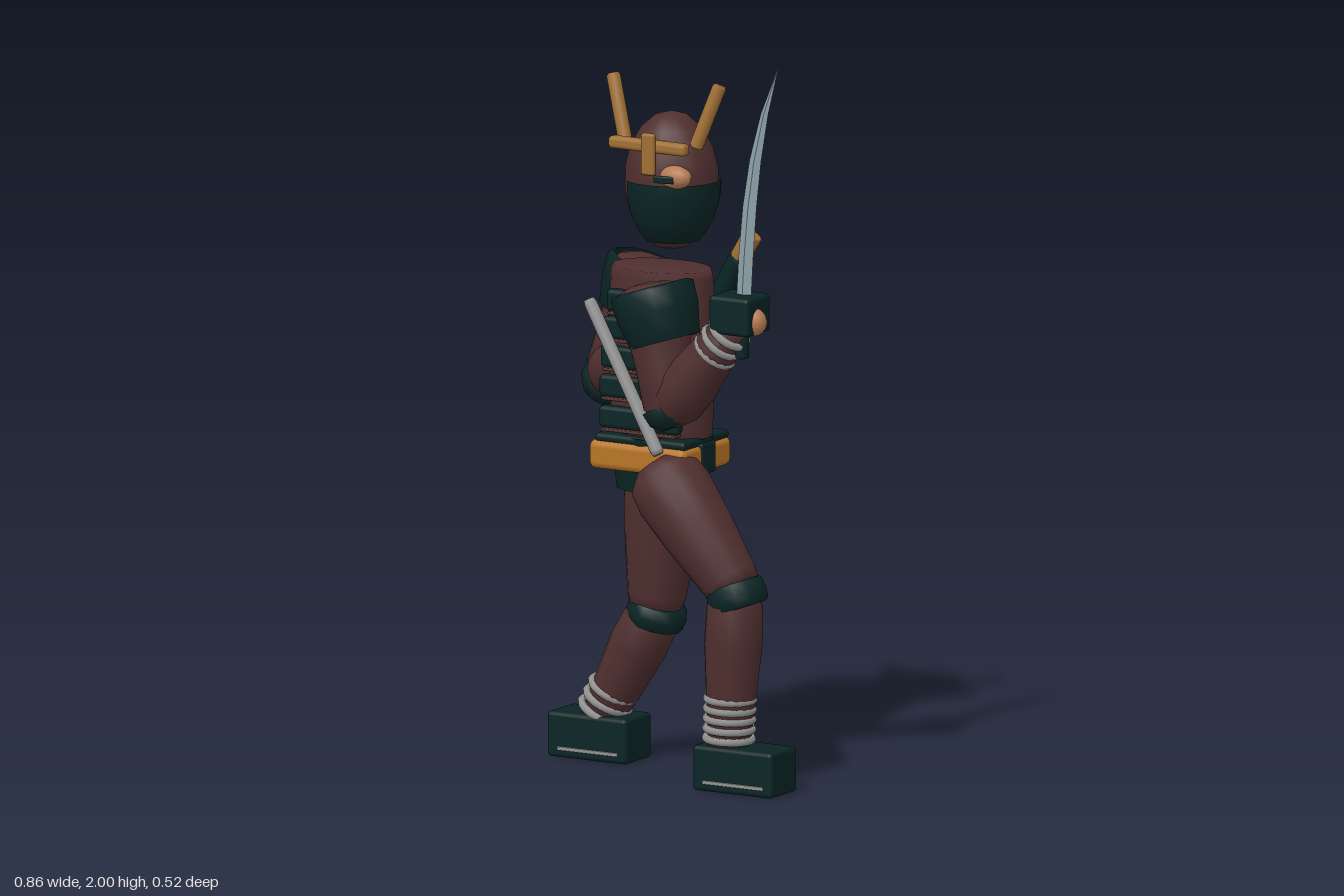
import * as THREE from 'three';
import { RoundedBoxGeometry } from 'three/addons/geometries/RoundedBoxGeometry.js';

const material = (name, color, side = THREE.FrontSide) => {
  const m = new THREE.MeshStandardMaterial({ color, side });
  m.name = name;
  return m;
};

export function createModel() {
  const model = new THREE.Group();
  model.name = 'swordFighter';
  const cloth = material('maroonCloth', 0x502f2f);
  const armour = material('darkTeal', 0x0a2424, THREE.DoubleSide);
  const gold = material('gold', 0xb97627);
  const wood = material('darkGold', 0xa07034);
  const skin = material('skin', 0xb57a53);
  const silver = material('silver', 0x939393);
  const steel = material('steel', 0x8ea2aa);

  const add = (name, geometry, mat, pos = [0, 0, 0]) => {
    const mesh = new THREE.Mesh(geometry, mat);
    mesh.name = name;
    mesh.position.set(...pos);
    model.add(mesh);
    return mesh;
  };
  const box = (name, size, pos, mat, round = 0.012) =>
    add(name, new RoundedBoxGeometry(...size, 2, Math.min(round, Math.min(...size) * 0.45)), mat, pos);
  const ball = (name, radii, pos, mat) => {
    const m = add(name, new THREE.SphereGeometry(1, 14, 9), mat, pos);
    m.scale.set(...radii);
    return m;
  };
  // Turned part between two points; profile holds [radius, fraction of length]
  const turned = (name, a, b, profile, mat, sides = 16) => {
    const from = new THREE.Vector3(...a);
    const dir = new THREE.Vector3(...b).sub(from);
    const len = dir.length();
    const geo = new THREE.LatheGeometry(profile.map(([r, t]) => new THREE.Vector2(r, t * len)), sides);
    const m = add(name, geo, mat, a);
    m.quaternion.setFromUnitVectors(new THREE.Vector3(0, 1, 0), dir.normalize());
    return m;
  };
  const rod = (name, a, b, r, mat) =>
    turned(name, a, b, [[0, 0], [r * 0.8, 0], [r, 0.03], [r, 0.97], [r * 0.8, 1], [0, 1]], mat, 12);
  // Wrapped rings spaced along a limb
  const rings = (name, a, b, count, radius) => {
    const start = new THREE.Vector3(...a), end = new THREE.Vector3(...b);
    const dir = end.clone().sub(start).normalize();
    for (let i = 0; i < count; i++) {
      const p = start.clone().lerp(end, i / (count - 1));
      const m = add(name, new THREE.TorusGeometry(radius, 0.011, 6, 18), silver, p.toArray());
      m.quaternion.setFromUnitVectors(new THREE.Vector3(0, 0, 1), dir);
    }
  };

  // Torso and skirt
  const torso = add('torso', new THREE.LatheGeometry([
    [0, 0.84], [0.135, 0.84], [0.148, 0.95], [0.156, 1.1], [0.156, 1.25], [0.15, 1.365], [0.143, 1.385], [0, 1.385],
  ].map(p => new THREE.Vector2(...p)), 20), cloth, [-0.05, 0, 0]);
  torso.scale.z = 0.69;
  const skirt = add('skirt', new THREE.CylinderGeometry(0.15, 0.13, 0.15, 14), armour, [-0.05, 0.855, 0]);
  skirt.scale.z = 0.8;

  // Chest bands, widening towards the belt
  [[1.3, 0.17], [1.225, 0.2], [1.145, 0.225], [1.065, 0.24], [0.98, 0.25]].forEach(([y, w], i) => {
    const x = -0.072 + i * 0.004;
    box('chestBand', [w, 0.06, 0.035], [x, y, 0.098], armour);
    box('bandTrim', [w * 0.92, 0.008, 0.038], [x, y - 0.035, 0.098], cloth, 0.003);
  });

  // Belt
  box('belt', [0.305, 0.08, 0.25], [-0.056, 0.876, 0], gold, 0.02);
  box('beltTopEdge', [0.285, 0.025, 0.235], [-0.05, 0.922, 0], armour);
  box('beltGap', [0.02, 0.088, 0.075], [0.09, 0.876, 0], armour);
  rod('chestRod', [-0.2, 1.3, 0.13], [0.025, 0.9, 0.14], 0.018, silver);

  // Scabbard behind the torso
  rod('scabbard', [-0.215, 0.82, -0.14], [0.115, 1.41, -0.14], 0.03, armour);
  rod('scabbardGrip', [0.11, 1.4, -0.14], [0.15, 1.467, -0.14], 0.028, wood);

  // Head, mask and visor
  const headPos = [-0.022, 1.622, -0.005];
  const head = add('head', new THREE.SphereGeometry(1, 14, 9), cloth, headPos);
  head.scale.set(0.13, 0.19, 0.122);
  const rad = Math.PI / 180;
  const mask = add('mask', new THREE.SphereGeometry(1, 14, 5, 56 * rad, 248 * rad, 88 * rad, 58 * rad), armour, headPos);
  mask.scale.set(0.136, 0.194, 0.129);
  ball('eyeSkin', [0.05, 0.032, 0.03], [0.047, 1.652, 0.09], skin);
  box('eyeSlit', [0.058, 0.02, 0.009], [0.03, 1.648, 0.121], armour).rotation.y = 0.18;

  // Headband, crest, horns and rear tail
  box('headband', [0.245, 0.034, 0.034], [-0.035, 1.73, 0.092], wood).rotation.y = -0.02;
  box('crest', [0.042, 0.115, 0.018], [-0.022, 1.712, 0.115], wood);
  rod('horn', [-0.135, 1.73, 0.05], [-0.193, 1.9, 0.017], 0.019, wood);
  rod('horn', [0.087, 1.73, 0.05], [0.143, 1.9, 0.017], 0.019, wood);
  const tailShape = new THREE.Shape([
    [-0.178, 1.485], [-0.1, 1.485], [-0.085, 1.72], [-0.14, 1.72], [-0.16, 1.66],
  ].map(p => new THREE.Vector2(...p)));
  add('headTail', new THREE.ExtrudeGeometry(tailShape, {
    depth: 0.016, bevelEnabled: true, bevelSize: 0.004, bevelThickness: 0.004, bevelSegments: 1,
  }), gold, [0, 0, -0.102]);

  // Upper arms with low shoulder domes inside open guards
  const armProfile = [[0, 0], [0.05, 0.02], [0.075, 0.1], [0.079, 0.45], [0.088, 0.75], [0.103, 0.94], [0.085, 1.01], [0.05, 1.05], [0, 1.065]];
  const guardProfile = [[0.085, 0.02], [0.096, 0], [0.113, 0.55], [0.115, 0.95], [0.1, 1]];
  const elbowProfile = [[0, 0], [0.045, 0.03], [0.068, 0.35], [0.077, 0.9], [0.05, 1]];
  turned('swordUpperArm', [0.088, 1.01, 0.168], [0.006, 1.35, 0.146], armProfile, cloth);
  turned('swordShoulderGuard', [0.054, 1.215, 0.152], [0.006, 1.357, 0.146], guardProfile, armour, 12);
  turned('swordElbowPad', [0.1, 0.988, 0.168], [0.074, 1.05, 0.166], elbowProfile, armour, 12);
  turned('rearUpperArm', [-0.288, 1.0, -0.1], [-0.178, 1.35, -0.147], armProfile, cloth);
  turned('rearShoulderGuard', [-0.222, 1.22, -0.135], [-0.177, 1.357, -0.147], guardProfile, armour, 12);
  turned('rearElbowPad', [-0.318, 0.992, -0.1], [-0.265, 1.055, -0.1], elbowProfile, armour, 12);

  // Forearms; the rear one folds in against the body
  const forearm = [[0, -0.12], [0.05, -0.08], [0.075, 0.08], [0.077, 0.3], [0.062, 0.7], [0.048, 1], [0, 1]];
  turned('rearForearm', [-0.265, 1.06, -0.09], [-0.09, 1.13, 0.04], forearm, cloth);
  turned('swordForearm', [0.085, 1.04, 0.17], [0.29, 1.29, 0.18], forearm, cloth);
  rings('wristRing', [0.225, 1.21, 0.177], [0.272, 1.266, 0.18], 3, 0.055);
  box('glove', [0.125, 0.105, 0.12], [0.303, 1.322, 0.178], armour);
  ball('fingers', [0.034, 0.038, 0.031], [0.356, 1.305, 0.187], skin);

  // Curved sword: a four-sided column bent and tapered towards the tip
  const bladeGeo = new THREE.CylinderGeometry(1, 1, 1, 4, 5).toNonIndexed();
  const pos = bladeGeo.attributes.position;
  for (let i = 0; i < pos.count; i++) {
    const t = pos.getY(i) + 0.5;
    const half = 0.022 * (1 - t * t * t) + 0.001;
    const centre = 0.315 + 0.035 * t + 0.072 * t * t * t;
    pos.setXYZ(i, centre + pos.getX(i) * half, 1.36 + 0.64 * t, 0.176 + pos.getZ(i) * half * 0.4);
  }
  bladeGeo.computeVertexNormals();
  add('swordBlade', bladeGeo, steel);
  rod('swordGrip', [0.31, 1.2, 0.178], [0.314, 1.37, 0.178], 0.019, armour);

  // Legs
  const thigh = [[0, -0.05], [0.06, -0.03], [0.1, 0.06], [0.109, 0.2], [0.1, 0.5], [0.08, 0.9], [0.068, 1], [0, 1]];
  const shin = [[0, -0.1], [0.05, -0.08], [0.076, 0.06], [0.079, 0.3], [0.065, 0.75], [0.055, 1], [0, 1]];
  const knee = [[0.066, 0], [0.079, 0.08], [0.083, 0.5], [0.077, 0.95], [0.06, 1]];
  turned('frontThigh', [0.0, 0.855, 0.1], [0.25, 0.54, 0.1], thigh, cloth);
  turned('frontKneePad', [0.26, 0.498, 0.1], [0.234, 0.565, 0.1], knee, armour, 12);
  turned('frontShin', [0.242, 0.53, 0.1], [0.222, 0.1, 0.1], shin, cloth);
  rings('frontAnkleRing', [0.222, 0.14, 0.1], [0.226, 0.248, 0.1], 5, 0.063);
  turned('rearThigh', [-0.1, 0.86, -0.107], [-0.13, 0.42, -0.1], thigh, cloth);
  turned('rearKneePad', [-0.138, 0.38, -0.1], [-0.118, 0.443, -0.1], knee, armour, 12);
  turned('rearShin', [-0.135, 0.41, -0.1], [-0.305, 0.1, -0.1], shin, cloth);
  rings('rearAnkleRing', [-0.296, 0.13, -0.1], [-0.264, 0.19, -0.1], 3, 0.063);

  // Boots with a thin sole strip
  [[0.27, 0.097], [-0.308, -0.1]].forEach(([x, z]) => {
    box('boot', [0.25, 0.124, 0.137], [x, 0.062, z], armour);
    box('soleStrip', [0.19, 0.01, 0.006], [x + 0.005, 0.026, z + 0.069], silver, 0.002);
  });

  return model;
}
